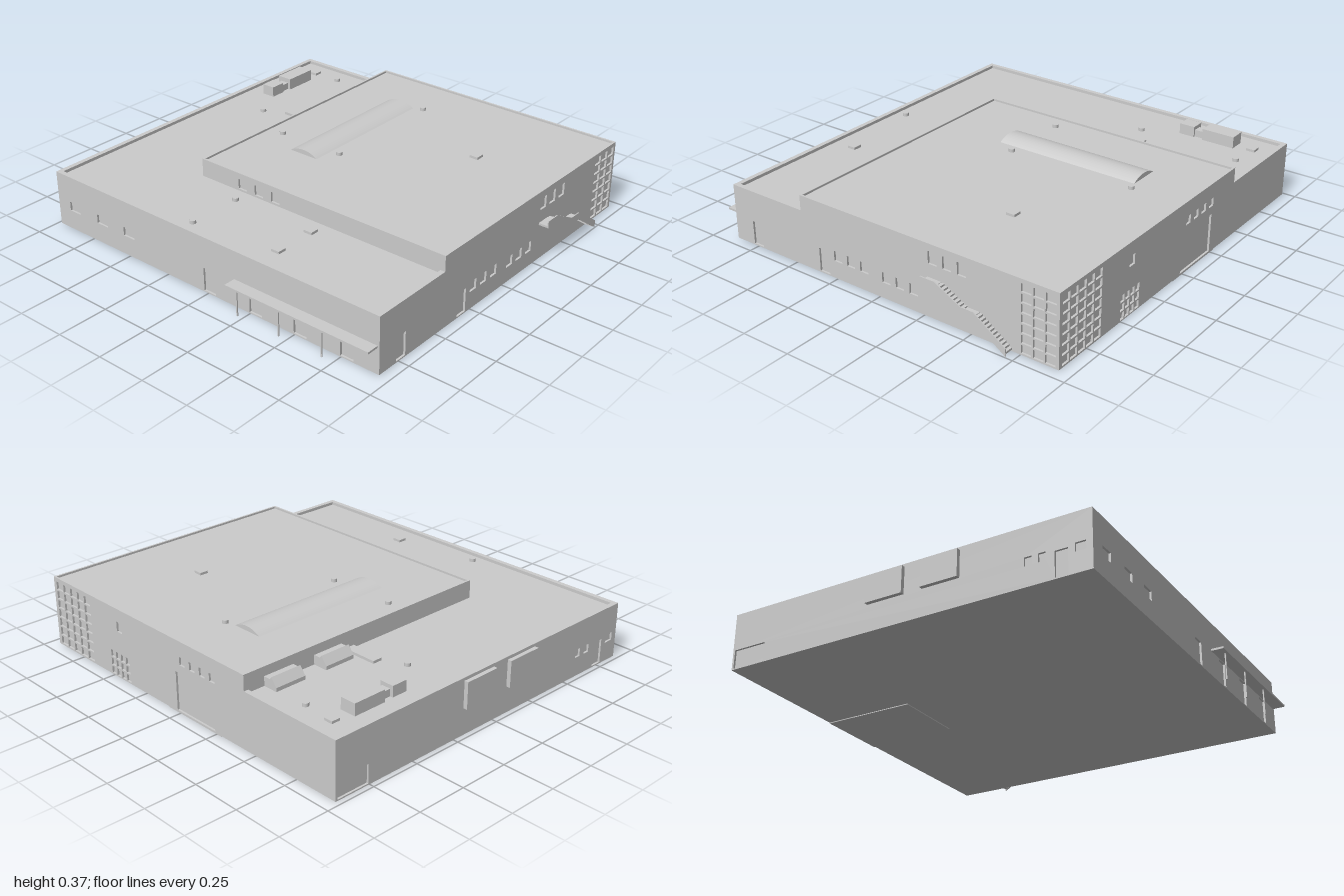
import * as THREE from 'three';

const GREY = new THREE.MeshStandardMaterial({ color: 0xcccccc });
const T = 0.01; // thickness of the facade skin
const BASE = 0.004;

export function createModel() {
  const model = new THREE.Group();

  const add = (name, geometry) => {
    const mesh = new THREE.Mesh(geometry, GREY);
    mesh.name = name;
    model.add(mesh);
    return mesh;
  };
  // Box given by its extents on each axis
  const box = (name, x0, x1, y0, y1, z0, z1) =>
    add(name, new THREE.BoxGeometry(x1 - x0, y1 - y0, z1 - z0)
      .translate((x0 + x1) / 2, (y0 + y1) / 2, (z0 + z1) / 2));
  const shapeOf = (pts) => new THREE.Shape(pts.map(([x, y]) => new THREE.Vector2(x, y)));
  const extrude = (name, pts, depth, holes = []) => {
    const shape = shapeOf(pts);
    for (const [x, y, w, h] of holes)
      shape.holes.push(shapeOf([[x, y], [x, y + h], [x + w, y + h], [x + w, y]]));
    return add(name, new THREE.ExtrudeGeometry(shape, { depth, bevelEnabled: false }));
  };
  // Grid of panes as [x, y, w, h] openings
  const panes = (x0, x1, y0, y1, cols, rows, gap) => {
    const w = (x1 - x0 - gap * (cols - 1)) / cols;
    const h = (y1 - y0 - gap * (rows - 1)) / rows;
    const out = [];
    for (let c = 0; c < cols; c++)
      for (let r = 0; r < rows; r++) out.push([x0 + c * (w + gap), y0 + r * (h + gap), w, h]);
    return out;
  };

  // Solid volumes behind the facades; their tops are the roof decks
  box('lowerBlock', -0.87, 0.93, BASE, 0.265, -0.97, 0.94);
  box('upperBlock', -0.44, 0.93, 0.25, 0.345, -0.43, 0.94);
  box('floorPlate', 0.48, 0.94, 0, BASE, -0.28, 0.08);

  // Facade skins with recessed windows and doors
  const front = extrude('frontFacade',
    [[-0.88, BASE], [0.94, BASE], [0.94, 0.355], [-0.45, 0.355], [-0.45, 0.28], [-0.88, 0.28]], T, [
      ...panes(0.755, 0.925, 0.012, 0.335, 3, 7, 0.008),
      [-0.77, 0.01, 0.06, 0.115], [-0.35, 0.01, 0.06, 0.115],
      ...panes(-0.26, -0.06, 0.09, 0.14, 3, 1, 0.03),
      ...panes(0.02, 0.22, 0.08, 0.13, 3, 1, 0.03),
      ...panes(0.28, 0.48, 0.26, 0.32, 3, 1, 0.03),
    ]);
  front.position.z = 0.95 - T;

  const right = extrude('rightFacade',
    [[-0.94, BASE], [0.97, BASE], [0.97, 0.28], [0.44, 0.28], [0.44, 0.355], [-0.94, 0.355]], T, [
      ...panes(-0.93, -0.655, 0.012, 0.335, 5, 7, 0.008),
      ...panes(-0.51, -0.365, 0.01, 0.13, 4, 3, 0.008),
      [-0.02, 0.01, 0.26, 0.19],
      ...panes(0.01, 0.25, 0.24, 0.28, 4, 1, 0.03),
      [-0.45, 0.24, 0.04, 0.05],
    ]);
  right.rotation.y = Math.PI / 2;
  right.position.x = 0.94 - T;

  const back = extrude('backFacade',
    [[-0.94, BASE], [0.88, BASE], [0.88, 0.28], [-0.94, 0.28]], T, [
      [-0.93, 0.01, 0.17, 0.09], [0.71, 0.01, 0.06, 0.12],
      ...panes(0.57, 0.67, 0.1, 0.14, 2, 1, 0.03), [0.8, 0.1, 0.05, 0.04],
    ]);
  back.rotation.y = Math.PI;
  back.position.z = -0.98 + T;

  const left = extrude('leftFacade',
    [[-0.97, BASE], [0.94, BASE], [0.94, 0.28], [-0.97, 0.28]], T, [
      ...[-0.9, -0.71, -0.53].map((z) => [z, 0.1, 0.07, 0.045]),
      ...[-0.02, 0.25, 0.5, 0.75].map((z) => [z, 0.01, 0.07, 0.115]),
    ]);
  left.rotation.y = -Math.PI / 2;
  left.position.x = -0.88 + T;

  const upperLeft = extrude('upperLeftFacade',
    [[-0.43, 0.25], [0.94, 0.25], [0.94, 0.355], [-0.43, 0.355]], T,
    panes(-0.21, 0.04, 0.275, 0.325, 3, 1, 0.05));
  upperLeft.rotation.y = -Math.PI / 2;
  upperLeft.position.x = -0.45 + T;
  box('upperBackFacade', -0.45, 0.93, 0.25, 0.355, -0.44, -0.43);

  // Inner thickness of the lower parapet
  box('parapetLeft', -0.87, -0.856, 0.26, 0.28, -0.97, 0.94);
  box('parapetBack', -0.856, 0.916, 0.26, 0.28, -0.97, -0.956);
  box('parapetRight', 0.916, 0.93, 0.26, 0.28, -0.97, -0.44);
  box('parapetFront', -0.856, -0.45, 0.26, 0.28, 0.926, 0.94);

  // Barrel skylight: a shallow circular segment along x
  const chord = 0.08, rise = 0.023;
  const radius = (chord * chord + rise * rise) / (2 * rise);
  const half = Math.asin(chord / radius);
  const arc = [];
  for (let i = 0; i <= 16; i++) {
    const a = half * (1 - i / 8);
    arc.push([Math.sin(a) * radius, Math.cos(a) * radius - radius + rise]);
  }
  const skylight = extrude('barrelSkylight', arc, 0.75);
  skylight.rotation.y = Math.PI / 2;
  skylight.position.set(-0.1, 0.345, -0.12);

  // Hooded air intakes against the upper wall
  for (const x of [0.39, 0.67]) {
    const hood = extrude('airIntake',
      [[0.44, 0.26], [0.515, 0.26], [0.515, 0.283], [0.485, 0.322], [0.475, 0.31], [0.44, 0.31]], 0.16);
    hood.rotation.y = Math.PI / 2;
    hood.position.x = x;
  }

  // Rooftop plant
  box('roofDuct', 0.315, 0.365, 0.26, 0.278, -0.61, -0.44);
  box('plantUnitLarge', 0.57, 0.74, 0.26, 0.323, -0.88, -0.8);
  box('plantLink', 0.52, 0.57, 0.26, 0.3, -0.86, -0.815);
  box('plantUnitSmall', 0.44, 0.52, 0.26, 0.318, -0.875, -0.805);

  // Round vents and square hatches: x, z, deck height
  const LOW = 0.265, HIGH = 0.345;
  for (const [x, z, y] of [[0.27, -0.72, LOW], [0.82, -0.68, LOW], [-0.8, -0.155, LOW],
    [-0.53, -0.155, LOW], [0.005, -0.345, HIGH], [0.005, 0.01, HIGH], [0.665, 0.01, HIGH]])
    add('roofVent', new THREE.CylinderGeometry(0.015, 0.015, 0.016, 16)).position.set(x, y + 0.008, z);
  for (const [x, z, y] of [[-0.74, 0.295, LOW], [-0.53, 0.295, LOW], [0.395, 0.52, HIGH], [0.825, -0.84, LOW]])
    box('roofHatch', x - 0.022, x + 0.022, y - 0.01, y + 0.012, z - 0.022, z + 0.022);

  // Panels on the back wall
  box('backPanel', -0.265, -0.08, 0.135, 0.265, -1, -0.98);
  box('backPanel', 0.012, 0.2, 0.135, 0.265, -1, -0.98);

  // Side canopy on slim posts
  box('canopy', -0.94, -0.88, 0.13, 0.14, 0.165, 0.94);
  for (const z of [0.22, 0.455, 0.69]) box('canopyPost', -0.928, -0.922, 0, 0.132, z - 0.003, z + 0.003);

  // Outside stair: outer stringer, two landings and two flights of treads
  extrude('stairStringer', [[0.275, 0.187], [0.345, 0.187], [0.485, 0.117], [0.55, 0.117], [0.715, 0.004],
    [0.715, 0.04], [0.55, 0.152], [0.485, 0.152], [0.35, 0.222], [0.275, 0.222]], 0.005).position.z = 0.995;
  box('stairLanding', 0.275, 0.35, 0.187, 0.197, 0.95, 0.995);
  box('stairLanding', 0.485, 0.55, 0.117, 0.127, 0.95, 0.995);
  const flight = (x0, y0, x1, y1, n) => {
    const w = (x1 - x0) / n;
    for (let i = 0; i < n; i++) {
      const y = y0 + ((y1 - y0) * (i + 0.7)) / n;
      box('stairTread', x0 + i * w, x0 + (i + 1) * w, y - 0.006, y + 0.004, 0.95, 0.995);
    }
  };
  flight(0.35, 0.197, 0.485, 0.127, 8);
  flight(0.55, 0.127, 0.712, 0.015, 11);

  return model;
}
